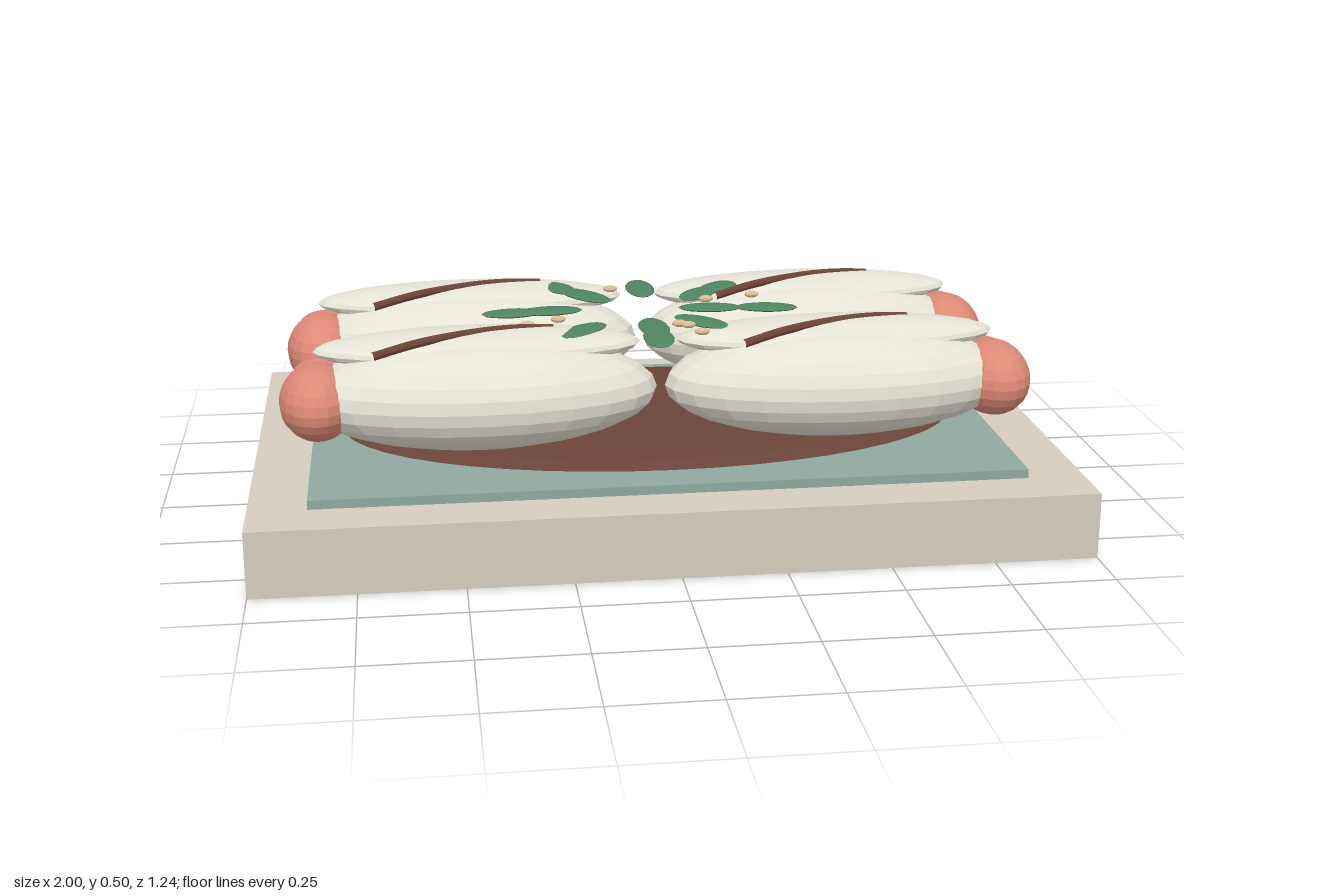
import * as THREE from 'three';

const material = (color, flatShading = true) => new THREE.MeshStandardMaterial({ color, flatShading });
const MAT = {
  board: material(0xd4cdbf),
  mat: material(0x8fa8a0),
  sauce: material(0x6b4438),
  bun: material(0xe5e2d6),
  sausage: material(0xdd8a76),
  leaf: material(0x4f8560),
  seed: material(0xd9bd90),
};

function add(parent, name, geometry, mat, x, y, z) {
  const mesh = new THREE.Mesh(geometry, mat);
  mesh.name = name;
  mesh.position.set(x, y, z);
  parent.add(mesh);
  return mesh;
}

// Sphere stretched to three radii
function ellipsoid(rx, ry, rz, w = 24, h = 14) {
  return new THREE.SphereGeometry(1, w, h).scale(rx, ry, rz);
}

// One filled bun; side is the direction in which the sausage sticks out
function createRoll(side, z) {
  const roll = new THREE.Group();
  roll.name = 'filledBun';
  roll.position.set(side * 0.445, 0, z);
  add(roll, 'bunBody', ellipsoid(0.435, 0.135, 0.188), MAT.bun, 0, 0.347, 0);
  add(roll, 'bunTop', ellipsoid(0.4, 0.045, 0.12), MAT.bun, 0, 0.45, -0.045);
  add(roll, 'sausageEnd', ellipsoid(0.093, 0.093, 0.135, 20, 12), MAT.sausage, side * 0.39, 0.342, 0.01);
  add(roll, 'sausageTip', ellipsoid(0.076, 0.03, 0.05, 16, 10), MAT.sausage, side * 0.375, 0.385, -0.105);

  // Sauce line drizzled diagonally over the top, running the same way on every bun
  const path = new THREE.CatmullRomCurve3([
    new THREE.Vector3(-0.255, 0.472, 0.09),
    new THREE.Vector3(-0.14, 0.487, 0.035),
    new THREE.Vector3(0.01, 0.492, -0.025),
    new THREE.Vector3(0.1, 0.49, -0.05),
    new THREE.Vector3(0.185, 0.482, -0.07),
  ]);
  add(roll, 'sauceLine', new THREE.TubeGeometry(path, 20, 0.011, 8), MAT.sauce, 0, 0, 0);
  return roll;
}

export function createModel() {
  const model = new THREE.Group();
  model.name = 'servingBoard';

  // Board and cloth
  add(model, 'board', new THREE.BoxGeometry(2, 0.163, 1.235), MAT.board, 0, 0.0815, 0);
  add(model, 'cloth', new THREE.BoxGeometry(1.72, 0.022, 0.98), MAT.mat, 0, 0.174, 0);

  // Oval sauce pool with a thin rim and a slightly domed top
  const profile = [[0, 0], [0.93, 0], [1, 0.01], [0.9, 0.02], [0.5, 0.033], [0, 0.035]]
    .map(([r, y]) => new THREE.Vector2(r, y));
  const pool = new THREE.LatheGeometry(profile, 48).scale(0.785, 1, 0.425);
  add(model, 'saucePool', pool, MAT.sauce, 0, 0.185, -0.01);

  // Four buns
  for (const side of [-1, 1]) {
    for (const z of [0.218, -0.233]) model.add(createRoll(side, z));
  }

  // Leaves: x, z, length, angle in degrees from the x axis towards the front
  const leaves = [
    [-0.22, -0.255, 0.17, 60], [-0.15, -0.16, 0.18, 53],
    [0, -0.215, 0.175, 90],
    [0.21, -0.21, 0.165, -45], [0.145, -0.145, 0.15, -52],
    [0.155, -0.005, 0.16, 5], [0.3, 0.01, 0.16, 8],
    [0.115, 0.125, 0.17, 48],
    [-0.01, 0.165, 0.17, 88], [-0.01, 0.26, 0.16, 92],
    [-0.19, 0.17, 0.17, -44],
    [-0.35, -0.01, 0.155, -4], [-0.255, -0.02, 0.17, -4],
  ];
  const leafGeometry = ellipsoid(0.5, 0.008, 0.038, 16, 8);
  for (const [x, z, length, angle] of leaves) {
    const leaf = add(model, 'leaf', leafGeometry, MAT.leaf, x, 0.48, z);
    leaf.scale.x = length;
    leaf.rotation.y = -THREE.MathUtils.degToRad(angle);
  }

  // Seeds scattered among the leaves
  const seeds = [
    [-0.08, -0.2], [0.155, -0.07], [0.28, -0.1], [-0.24, 0.08],
    [-0.32, 0.12], [0.055, 0.155], [0.1, 0.235], [0.075, 0.17],
  ];
  const seedGeometry = ellipsoid(0.019, 0.009, 0.013, 10, 6);
  for (const [x, z] of seeds) add(model, 'seed', seedGeometry, MAT.seed, x, 0.486, z);

  return model;
}
